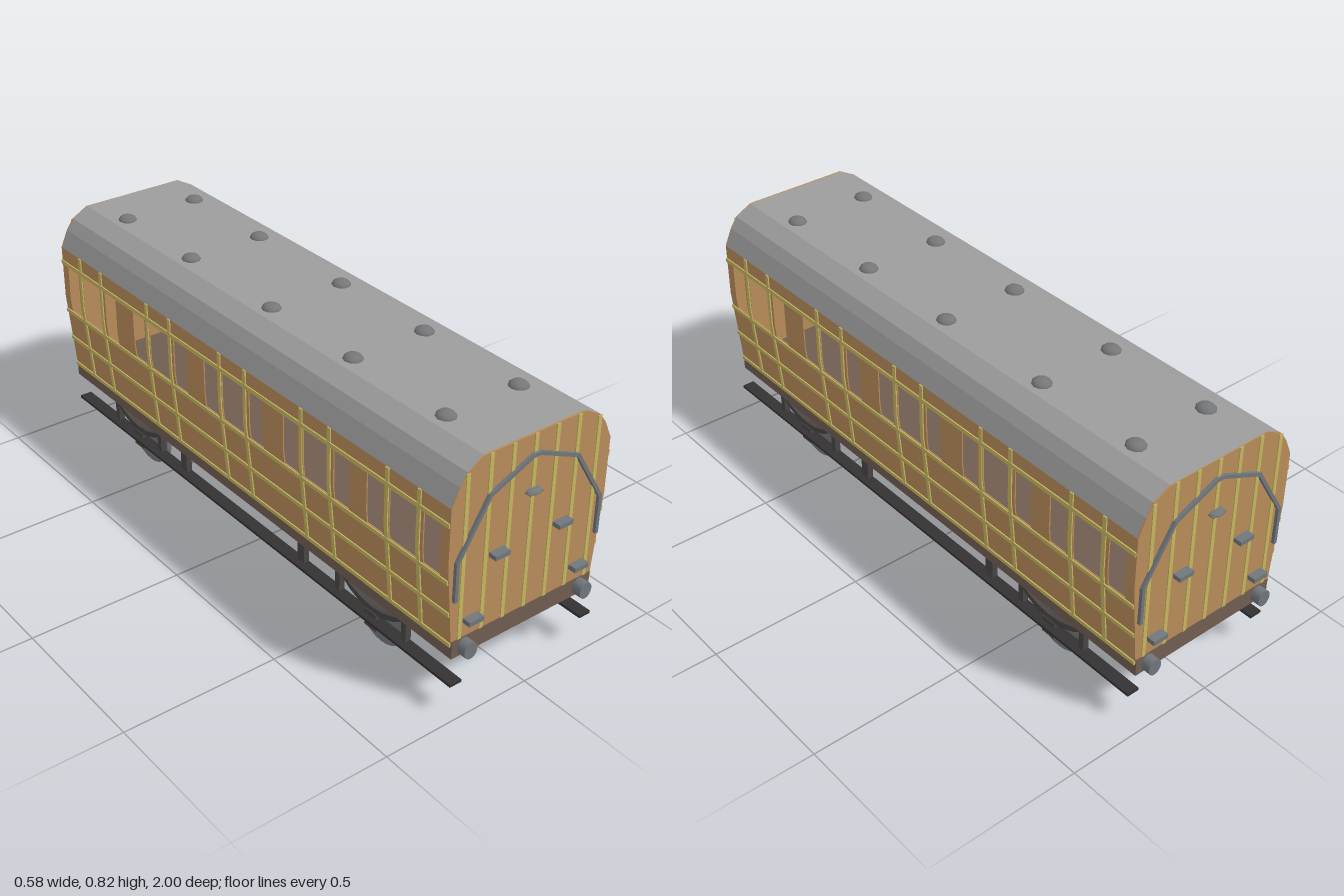
import * as THREE from 'three';

const mat = (name, color, side = THREE.FrontSide) => {
  const m = new THREE.MeshStandardMaterial({ color, side });
  m.name = name;
  return m;
};

export function createModel() {
  const wood = mat('wood', 0xb98c5a);
  const trim = mat('yellow trim', 0xc6b660);
  const roofGrey = mat('roof grey', 0x9c9c9c);
  const steel = mat('steel', 0x747678);
  const railGrey = mat('rail grey', 0x70767b);
  const frameBrown = mat('frame brown', 0x705d51);
  const dark = mat('dark iron', 0x4a4545);
  const black = mat('board black', 0x343131);

  const model = new THREE.Group();
  model.name = 'railwayCarriage';
  const add = (parent, name, geo, material, x = 0, y = 0, z = 0) => {
    const m = new THREE.Mesh(geo, material);
    m.name = name;
    m.position.set(x, y, z);
    parent.add(m);
    return m;
  };
  const box = (parent, name, material, w, h, d, x, y, z) =>
    add(parent, name, new THREE.BoxGeometry(w, h, d), material, x, y, z);
  const extrude = (pts, depth) => new THREE.ExtrudeGeometry(
    new THREE.Shape(pts.map(p => new THREE.Vector2(...p))), { depth, bevelEnabled: false });

  // Body outline: tapering below the waist, upright above it
  const L = 0.967, FLOOR = 0.245, WAIST = 0.5, EAVES = 0.68;
  const wallX = y => y < WAIST ? 0.285 - (WAIST - y) * 0.092 : 0.285;
  const arch = [[0.285, EAVES], [0.26, 0.735], [0.235, 0.77], [0.18, 0.8]];
  const mirrorPts = half => [...half, ...half.map(([x, y]) => [-x, y]).reverse()];

  // A patch of side wall between two heights and two lengths
  const sidePatch = (parent, name, material, z0, z1, y0, y1, out = 0, t = 0.004) => {
    const ys = y0 < WAIST && y1 > WAIST ? [y0, WAIST, y1] : [y0, y1];
    const outer = ys.map(y => [wallX(y) + out, y]);
    const inner = ys.map(y => [wallX(y) + out - t, y]).reverse();
    add(parent, name, extrude([...outer, ...inner], z1 - z0), material, 0, 0, z0);
  };

  // Underframe
  box(model, 'underframe', frameBrown, 0.518, 0.058, 2 * L + 0.006, 0, 0.216, 0);

  // Roof shell
  const innerArch = arch.map(([x, y]) => [x - 0.005, y - 0.005]);
  const roofPts = [...mirrorPts(arch), ...mirrorPts(innerArch).reverse()];
  add(model, 'roof', extrude(roofPts, 2 * L - 0.002), roofGrey, 0, 0, -L + 0.001);

  // Roof ventilators
  const dome = new THREE.SphereGeometry(1, 10, 4, 0, Math.PI * 2, 0, Math.PI / 2);
  for (const z of [-0.79, -0.42, 0, 0.38, 0.765])
    for (const x of [-0.13, 0.13])
      add(model, 'roofVent', dome, steel, x, 0.798, z).scale.set(0.03, 0.019, 0.032);

  // Sides: three-window compartments, the far side is the same turned half round
  const doors = [-0.785, -0.41, -0.013, 0.383, 0.785];
  const SILL = 0.455, HEAD = 0.622;
  for (const turn of [0, Math.PI]) {
    const side = new THREE.Group();
    side.name = turn ? 'rightSide' : 'leftSide';
    side.rotation.y = turn;
    model.add(side);
    sidePatch(side, 'lowerPanel', wood, -L, L, 0.23, SILL);
    sidePatch(side, 'upperPanel', wood, -L, L, HEAD, EAVES);
    let from = -L;
    for (const c of doors) {
      for (const [a, b] of [[-0.149, -0.082], [-0.055, 0.055], [0.082, 0.149]]) {
        sidePatch(side, 'windowPillar', wood, from, c + a, SILL, HEAD);
        from = c + b;
      }
      for (const s of [-0.064, 0.064])
        sidePatch(side, 'doorStrip', trim, c + s - 0.007, c + s + 0.007, 0.23, EAVES, 0.004);
    }
    sidePatch(side, 'windowPillar', wood, from, L, SILL, HEAD);
    for (const y of [0.235, 0.34, 0.448, 0.629])
      sidePatch(side, 'beltStrip', trim, -L, L, y - 0.007, y + 0.007, 0.005);
  }

  // Ends
  const endPts = mirrorPts([[wallX(FLOOR), FLOOR], [0.285, WAIST], ...arch]);
  const topAt = x => x <= 0.18 ? 0.799 : 0.8 - (x - 0.18) * 0.55;
  const railPts = [[-0.26, 0.383], [-0.26, 0.505], [-0.157, 0.675], [-0.012, 0.738],
    [0.012, 0.738], [0.157, 0.675], [0.26, 0.505], [0.26, 0.383]];
  for (const turn of [0, Math.PI]) {
    const end = new THREE.Group();
    end.name = turn ? 'backEnd' : 'frontEnd';
    end.rotation.y = turn;
    model.add(end);
    add(end, 'endPanel', extrude(endPts, 0.006), wood, 0, 0, L - 0.005);
    for (let i = -3; i <= 3; i++) {
      const x = i * 0.078, top = topAt(Math.abs(x) + 0.006);
      box(end, 'endStrip', trim, 0.013, top - FLOOR, 0.004, x, (top + FLOOR) / 2, L + 0.002);
    }
    // Handrail following the roof line
    for (let i = 0; i + 1 < railPts.length; i++) {
      const [x0, y0] = railPts[i], [x1, y1] = railPts[i + 1];
      const bar = box(end, 'handrail', railGrey, Math.hypot(x1 - x0, y1 - y0) + 0.004, 0.011, 0.011,
        (x0 + x1) / 2, (y0 + y1) / 2, L + 0.006);
      bar.rotation.z = Math.atan2(y1 - y0, x1 - x0);
    }
    // Lamp, steps and buffers
    add(end, 'endLamp', dome, steel, 0, 0.623, L + 0.002).scale.set(0.027, 0.012, 0.024);
    box(end, 'lampBase', steel, 0.05, 0.003, 0.02, 0, 0.6235, L + 0.01);
    for (const s of [-1, 1]) {
      box(end, 'upperStep', railGrey, 0.052, 0.014, 0.028, s * 0.116, 0.479, L + 0.014);
      box(end, 'lowerStep', railGrey, 0.052, 0.015, 0.028, s * 0.196, 0.3, L + 0.014);
      const buffer = add(end, 'buffer', new THREE.CylinderGeometry(1, 1, 0.035, 16), railGrey,
        s * 0.216, 0.215, 0.9825);
      buffer.rotation.x = Math.PI / 2;
      buffer.scale.set(0.023, 1, 0.027);
    }
  }

  // Running gear
  const axles = [0.62, -0.605];
  const wheel = new THREE.CylinderGeometry(0.112, 0.112, 0.015, 28).rotateZ(Math.PI / 2);
  const axle = new THREE.CylinderGeometry(0.012, 0.012, 0.325, 12).rotateZ(Math.PI / 2);
  // Leaf spring: a sagging band, drawn along z and extruded across x
  const sag = (t, y) => [t * 0.15, y + 0.052 * t * t];
  const ts = [-1, -0.66, -0.33, 0, 0.33, 0.66, 1];
  const spring = extrude([...ts.map(t => sag(t, 0.122 + 0.008 * t * t)),
    ...ts.map(t => sag(t, 0.143)).reverse()], 0.018).translate(0, 0, -0.009).rotateY(Math.PI / 2);
  for (const z of axles) add(model, 'axle', axle, frameBrown, 0, 0.116, z);
  for (const s of [-1, 1]) {
    for (const z of axles) {
      add(model, 'wheel', wheel, steel, s * 0.198, 0.112, z);
      add(model, 'leafSpring', spring, dark, s * 0.236, 0, z);
      box(model, 'axleBox', dark, 0.02, 0.058, 0.05, s * 0.238, 0.097, z);
    }
    for (const [z, d] of [[0.76, 0.02], [0.465, 0.02], [0.29, 0.032],
      [-0.335, 0.032], [-0.48, 0.02], [-0.74, 0.02]])
      box(model, 'hanger', dark, 0.02, 0.08, d, s * 0.235, 0.148, z);
    box(model, 'runningBoard', black, 0.041, 0.009, 1.935, s * 0.246, 0.105, 0.013);
  }
  return model;
}
